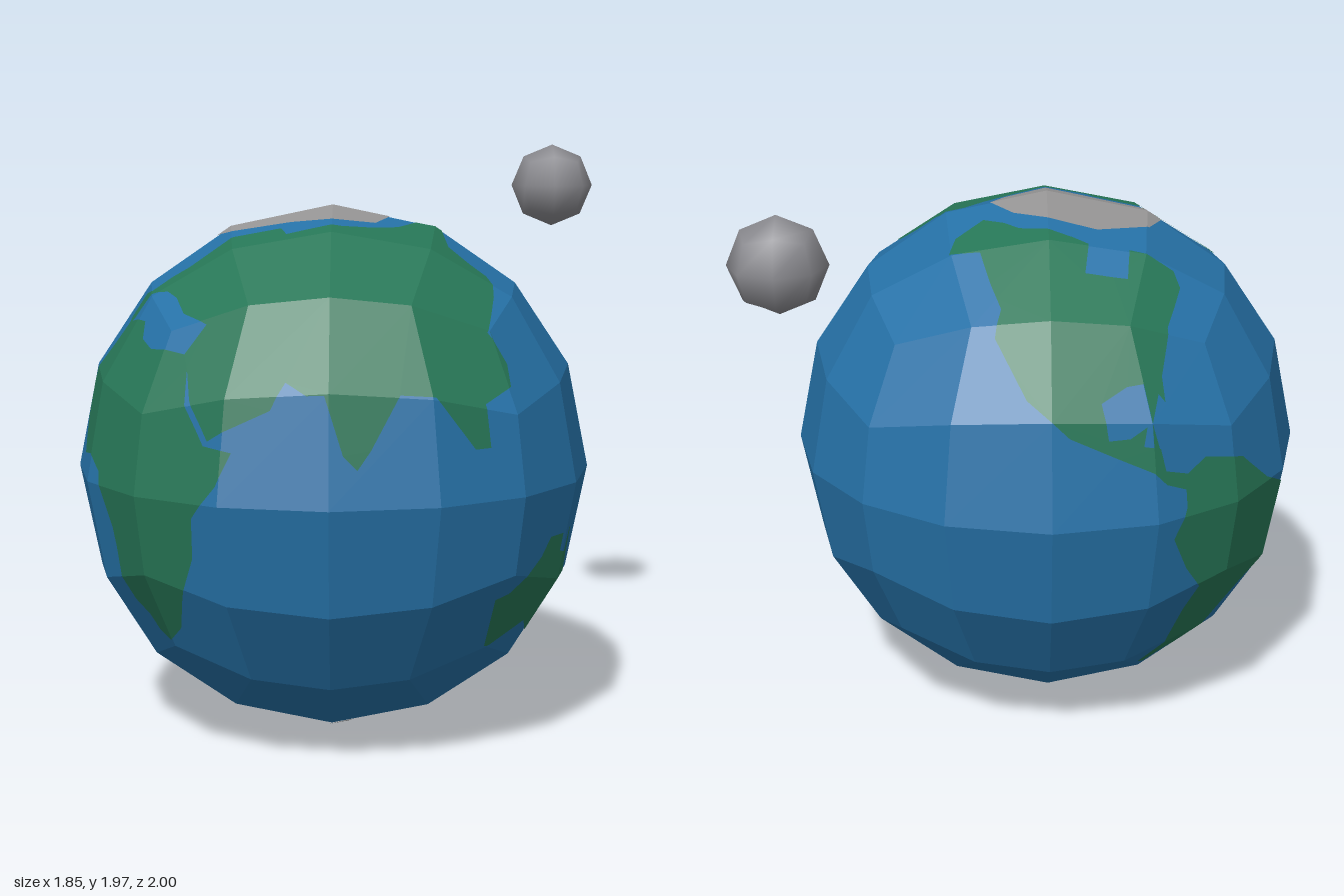
import * as THREE from 'three';

const FRONT_LON = 71; // longitude that faces +z

// Coast outlines as [longitude, latitude] corners
const LAND = {
  eurasia: [[-9, 37], [-9, 43], [-2, 44], [0, 49], [4, 53], [6, 60], [8, 65], [18, 70], [28, 73], [42, 69],
    [51, 71], [78, 73], [108, 74], [133, 73], [160, 71], [161, 65], [140, 61], [139, 50], [130, 44],
    [121, 39], [115, 35], [119, 28], [117, 23], [108, 20], [108, 11], [104, 11], [95, 22], [87, 23],
    [80, 12], [77, 8], [74, 11], [70, 23], [66, 23], [61, 26], [58, 20], [44, 13], [38, 21], [34, 28],
    [32, 31], [36, 38], [26, 40], [17, 44], [10, 45], [2, 43], [-2, 37], [-6, 35.5]],
  africa: [[-6, 36], [9, 37], [13, 33], [20, 31], [32, 31], [34, 28], [37, 20], [43, 12], [50, 11],
    [47, 4], [41, -3], [40, -12], [35, -22], [31, -30], [25, -34], [20, -33], [14, -26], [13, -9],
    [9, 3], [4, 6], [-8, 4.5], [-16, 12], [-17, 20], [-10, 30]],
  northAmerica: [[-125, 41], [-115, 28], [-105, 20], [-95, 15.5], [-86, 11], [-83, 8], [-78, 6], [-76, 9],
    [-83, 11], [-84, 16], [-88, 17], [-87, 21], [-91, 19], [-96, 19], [-97, 27], [-90, 30], [-84, 30],
    [-81, 25.5], [-80, 31], [-76, 37], [-73, 41], [-66, 45], [-58, 49], [-56, 53], [-69, 61.5],
    [-78, 54.5], [-94, 58], [-87, 66], [-94, 69], [-132, 73], [-149, 74.5], [-170, 73], [-164, 64],
    [-155, 58.5], [-143, 62], [-132, 54.5], [-125, 48]],
  southAmerica: [[-78, 9], [-72, 12], [-60, 9], [-50, 1], [-35, -6], [-39, -15], [-42, -23], [-49, -28],
    [-58, -38], [-66, -46], [-68, -54], [-73, -52], [-73, -38], [-71, -20], [-76, -14], [-81, -5], [-78, 2]],
  australia: [[113, -23], [122, -18], [127, -15], [130, -11], [136, -11], [136, -15], [140, -16], [142, -11],
    [144, -11], [146, -17], [152, -23], [153, -30], [147, -38], [140, -37], [132, -32], [115, -35]],
  northIsland: [[172.5, -35], [178, -38], [174.5, -41]],
  southIsland: [[172, -41], [174, -42], [168, -47], [166, -45.5]],
};
const ICE = {
  northIce: [[-19, 63], [-38, 65], [-71, 71.5], [-109, 77], [-154, 79], [161, 77], [120, 77], [71, 77.5],
    [22, 77], [-6, 66]],
  southIce: [[-60, -63], [-60, -74], [-30, -77], [-10, -71], [20, -69], [50, -66], [80, -66], [110, -66],
    [140, -66], [165, -71], [-170, -78], [-150, -77], [-120, -74], [-100, -73], [-75, -73], [-67, -68]],
};

// Unit sphere made from a subdivided box
function boxSphere(n, inner = 0.43) {
  const g = new THREE.BoxGeometry(2, 2, 2, n, n, n);
  const p = g.attributes.position, v = new THREE.Vector3();
  const ease = (c) => (Math.abs(Math.abs(c) - 0.5) < 0.01 ? Math.sign(c) * inner : c);
  for (let i = 0; i < p.count; i++) {
    v.fromBufferAttribute(p, i);
    v.set(ease(v.x), ease(v.y), ease(v.z)).normalize();
    p.setXYZ(i, v.x, v.y, v.z);
    g.attributes.normal.setXYZ(i, v.x, v.y, v.z);
  }
  return g;
}

// Flat triangles of the sphere, each with the shared normal of its four-sided facet
function facetTriangles(g) {
  const at = (i) => new THREE.Vector3().fromBufferAttribute(g.attributes.position, i);
  const idx = g.index.array, list = [];
  for (let i = 0; i < idx.length; i += 6) {
    const [a, b, d, c] = [idx[i], idx[i + 1], idx[i + 2], idx[i + 4]].map(at);
    const normal = c.clone().sub(a).cross(d.clone().sub(b)).normalize();
    list.push({ pts: [a, b, d], normal }, { pts: [b, c, d], normal });
  }
  return list;
}

function flatGeometry(triangles) {
  const pos = [], nor = [];
  for (const { pts, normal } of triangles) {
    for (const q of pts) { pos.push(q.x, q.y, q.z); nor.push(normal.x, normal.y, normal.z); }
  }
  const g = new THREE.BufferGeometry();
  g.setAttribute('position', new THREE.Float32BufferAttribute(pos, 3));
  g.setAttribute('normal', new THREE.Float32BufferAttribute(nor, 3));
  return g;
}

function direction([lon, lat]) {
  const a = THREE.MathUtils.degToRad(lon - FRONT_LON), b = THREE.MathUtils.degToRad(lat);
  return new THREE.Vector3(Math.cos(b) * Math.sin(a), Math.sin(b), Math.cos(b) * Math.cos(a));
}

// Keep the part of a polygon on the positive side of a plane through the centre
function clip(poly, plane) {
  const out = [];
  poly.forEach((p, i) => {
    const q = poly[(i + 1) % poly.length], dp = p.dot(plane), dq = q.dot(plane);
    if (dp >= 0) out.push(p);
    if ((dp >= 0) !== (dq >= 0)) out.push(p.clone().lerp(q, dp / (dp - dq)));
  });
  return out;
}

// Lay an outline on the facets as a thin plate just above them
function plate(outline, facets, lift) {
  const dirs = outline.map(direction), result = [];
  for (const { pts, normal } of facets) {
    const [a, b, c] = pts;
    let poly = dirs;
    for (const [s, e] of [[a, b], [b, c], [c, a]]) poly = clip(poly, s.clone().cross(e));
    if (poly.length < 3) continue;
    const n = b.clone().sub(a).cross(c.clone().sub(a)).normalize();
    const u = b.clone().sub(a).normalize(), w = n.clone().cross(u);
    const on = poly.map((p) => p.clone().multiplyScalar((lift * n.dot(a)) / n.dot(p)));
    const flat = on.map((p) => new THREE.Vector2(p.dot(u), p.dot(w)));
    for (const [i, j, k] of THREE.ShapeUtils.triangulateShape(flat, [])) {
      const turn = flat[j].clone().sub(flat[i]).cross(flat[k].clone().sub(flat[i]));
      result.push({ pts: turn > 0 ? [on[i], on[j], on[k]] : [on[i], on[k], on[j]], normal });
    }
  }
  return flatGeometry(result);
}

export function createModel() {
  const material = (name, color) => {
    const m = new THREE.MeshStandardMaterial({ color });
    m.name = name;
    return m;
  };
  const ocean = material('oceanBlue', 0x2672a8);
  const land = material('landGreen', 0x277757);
  const ice = material('iceGrey', 0x959494);
  const rock = material('moonGrey', 0x8c8c91);

  const model = new THREE.Group();
  model.name = 'planetAndMoon';
  const add = (parent, name, geometry, mat) => {
    const mesh = new THREE.Mesh(geometry, mat);
    mesh.name = name;
    parent.add(mesh);
    return mesh;
  };

  // Planet: faceted ocean with land and ice plates
  const planet = new THREE.Group();
  planet.name = 'planet';
  planet.position.set(-0.053, 0.893, 0.122);
  planet.scale.set(0.875, 0.89, 0.876);
  model.add(planet);
  const facets = facetTriangles(boxSphere(4));
  add(planet, 'ocean', flatGeometry(facets), ocean);
  for (const [name, outline] of Object.entries(LAND)) add(planet, name, plate(outline, facets, 1.003), land);
  for (const [name, outline] of Object.entries(ICE)) add(planet, name, plate(outline, facets, 1.004), ice);

  // Moon: small smooth sphere with few sides
  const moon = add(model, 'moon', boxSphere(2), rock);
  moon.position.set(0.77, 1.82, -0.843);
  moon.scale.setScalar(0.154);

  return model;
}
